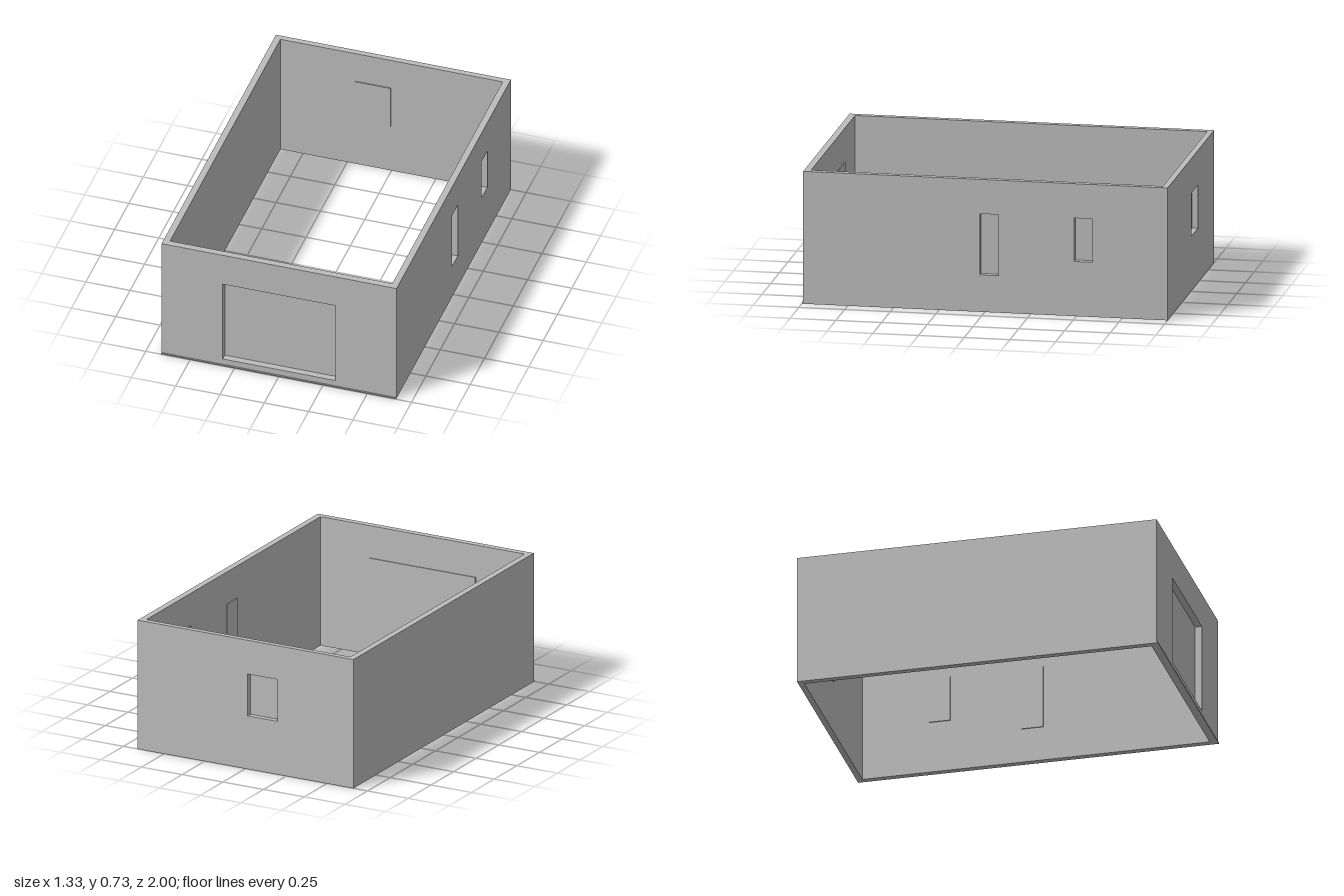
import * as THREE from 'three';

const HEIGHT = 0.732, HALF_X = 0.663, INNER_X = 0.627;
const BACK = -1, BACK_IN = -0.968, FRONT_IN = 0.956, FRONT = 0.993;
const PLATE = 0.006, OVERLAP = 0.009;

export function createModel() {
  const model = new THREE.Group();
  model.name = 'roomShell';
  const grey = new THREE.MeshStandardMaterial({ color: 0xbcbcbc });
  grey.name = 'wallGrey';

  const rect = (Type, x0, x1, y0, y1) => new Type([
    new THREE.Vector2(x0, y0), new THREE.Vector2(x1, y0),
    new THREE.Vector2(x1, y1), new THREE.Vector2(x0, y1),
  ]);

  // Wall from x0 to x1, pierced by openings, each closed by a thin panel
  // on the room side. inward is the local z direction of the room.
  function wall(name, x0, x1, thickness, inward, openings = []) {
    const group = new THREE.Group();
    group.name = name;
    const shape = rect(THREE.Shape, x0, x1, 0, HEIGHT);
    shape.holes = openings.map((o) => rect(THREE.Path, o.x0, o.x1, o.y0, o.y1));
    const body = new THREE.Mesh(
      new THREE.ExtrudeGeometry(shape, { depth: thickness, bevelEnabled: false }), grey);
    body.name = name + 'Body';
    group.add(body);
    for (const o of openings) {
      const panel = new THREE.Mesh(new THREE.BoxGeometry(
        o.x1 - o.x0 + 2 * OVERLAP, o.y1 - o.y0 + 2 * OVERLAP, PLATE), grey);
      panel.name = o.name;
      panel.position.set((o.x0 + o.x1) / 2, (o.y0 + o.y1) / 2,
        inward > 0 ? thickness + PLATE / 2 : -PLATE / 2);
      group.add(panel);
    }
    model.add(group);
    return group;
  }

  // Front wall with the wide door, back wall with one window
  wall('frontWall', -HALF_X, HALF_X, FRONT - FRONT_IN, -1, [
    { name: 'doorPanel', x0: -0.318, x1: 0.318, y0: 0.042, y1: 0.54 },
  ]).position.z = FRONT_IN;
  wall('backWall', -HALF_X, HALF_X, BACK_IN - BACK, 1, [
    { name: 'backWindowPanel', x0: -0.197, x1: -0.013, y0: 0.302, y1: 0.54 },
  ]).position.z = BACK;

  // Side walls: local x runs towards -z, local z towards +x
  const thickness = HALF_X - INNER_X;
  const pierced = wall('leftWall', -FRONT_IN, -BACK_IN, thickness, -1, [
    { name: 'tallWindowPanel', x0: -0.027, x1: 0.076, y0: 0.204, y1: 0.542 },
    { name: 'shortWindowPanel', x0: 0.488, x1: 0.59, y0: 0.302, y1: 0.542 },
  ]);
  pierced.rotation.y = Math.PI / 2;
  pierced.position.x = INNER_X;
  const plain = wall('rightWall', -FRONT_IN, -BACK_IN, thickness, 1);
  plain.rotation.y = Math.PI / 2;
  plain.position.x = -HALF_X;

  // Low lip along the foot of the front wall
  const lip = new THREE.Mesh(new THREE.BoxGeometry(2 * HALF_X, 0.007, 1 - FRONT), grey);
  lip.name = 'frontLip';
  lip.position.set(0, 0.0035, (1 + FRONT) / 2);
  model.add(lip);

  return model;
}
